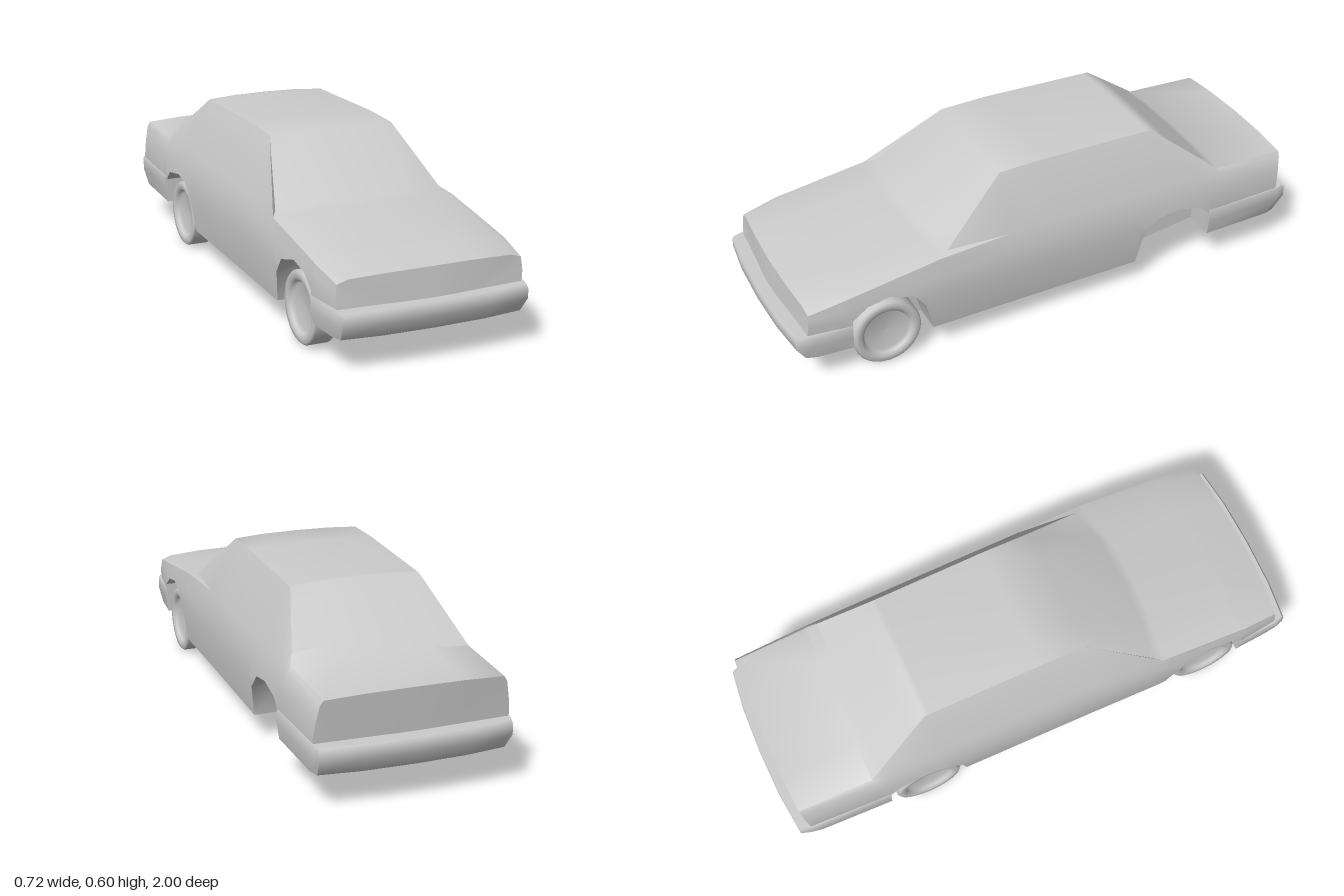
import * as THREE from 'three';
import { toCreasedNormals } from 'three/addons/utils/BufferGeometryUtils.js';

// Piecewise linear lookup in rows [key, v1, v2, ...] sorted by ascending key
function sample(rows, k, col = 1) {
  if (k <= rows[0][0]) return rows[0][col];
  for (let i = 1; i < rows.length; i++) {
    const a = rows[i - 1], b = rows[i];
    if (k <= b[0]) return a[col] + (b[col] - a[col]) * (k - a[0]) / (b[0] - a[0]);
  }
  return rows[rows.length - 1][col];
}

// Closed skin through equal-length rings, capped at both ends
function loft(rings, crease) {
  const pos = [];
  const tri = (a, b, c) => {
    const t = new THREE.Triangle(new THREE.Vector3(...a), new THREE.Vector3(...b), new THREE.Vector3(...c));
    if (t.getArea() > 1e-8) pos.push(...a, ...b, ...c);
  };
  const n = rings[0].length, last = rings[rings.length - 1];
  for (let i = 0; i < rings.length - 1; i++) {
    for (let j = 0; j < n; j++) {
      const k = (j + 1) % n, A = rings[i], B = rings[i + 1];
      tri(A[j], B[j], A[k]);
      tri(A[k], B[j], B[k]);
    }
  }
  for (let j = 1; j < n - 1; j++) {
    tri(rings[0][0], rings[0][j], rings[0][j + 1]);
    tri(last[0], last[j + 1], last[j]);
  }
  const g = new THREE.BufferGeometry();
  g.setAttribute('position', new THREE.Float32BufferAttribute(pos, 3));
  return toCreasedNormals(g, crease);
}

// Body stations: z, shoulder y, upper edge x, upper edge y, centre y, half width, bow, end slant
const KEYS = [
  [-0.96, 0.365, 0.305, 0.383, 0.392, 0.335, -0.01, 0.1],
  [-0.675, 0.375, 0.31, 0.39, 0.405, 0.346, 0, 0],
  [-0.43, 0.385, 0.232, 0.58, 0.59, 0.349, 0, 0],
  [0, 0.39, 0.235, 0.587, 0.597, 0.353, 0, 0],
  [0.185, 0.388, 0.235, 0.582, 0.588, 0.355, 0.02, 0],
  [0.45, 0.375, 0.315, 0.385, 0.4, 0.36, 0.04, 0],
  [0.8, 0.322, 0.31, 0.335, 0.345, 0.35, 0.02, 0],
  [0.945, 0.295, 0.29, 0.308, 0.316, 0.333, 0.02, 0.1],
];
// Height of the floor, and of the open wheel arches along the side
const FLOOR = [[-0.96, 0.15], [-0.632, 0.14], [-0.33, 0.095], [0.485, 0.095], [0.782, 0.14], [0.945, 0.14]];
const ARCHES = [
  [-0.631, 0.14], [-0.63, 0.225], [-0.59, 0.265], [-0.49, 0.282], [-0.41, 0.27], [-0.35, 0.21], [-0.33, 0.095],
  [0.485, 0.095], [0.515, 0.21], [0.555, 0.265], [0.645, 0.29], [0.725, 0.275], [0.78, 0.235], [0.781, 0.14],
];
// Body half width by height, for a full width of 0.36
const BULGE = [[0.095, 0.34], [0.2, 0.355], [0.25, 0.36], [0.31, 0.352], [0.39, 0.335]];

function bodyRing(z) {
  const [shoulder, edgeX, edgeY, top, wide, bow, slant] = [1, 2, 3, 4, 5, 6, 7].map(c => sample(KEYS, z, c));
  const floor = sample(FLOOR, z);
  const inArch = (z >= -0.63 && z <= -0.33) || (z >= 0.485 && z <= 0.78);
  const sill = inArch ? Math.max(floor, sample(ARCHES, z)) : floor;
  const side = y => sample(BULGE, y) * wide / 0.36;
  const low = Math.max(0.25, sill + 0.003);
  const mid = Math.max((0.25 + shoulder) / 2, low + 0.003);
  const half = [
    [0, floor], [0.235, floor], [0.235, sill], [side(sill), sill], [side(low), low], [side(mid), mid],
    [side(shoulder), shoulder], [edgeX, edgeY], [edgeX * 0.55, edgeY + (top - edgeY) * 0.8], [0, top],
  ];
  const bend = ([x, y], upper) =>
    [x, y, z + (top - y) * slant - (upper || slant ? bow * (x / 0.33) ** 2 : 0)];
  const right = half.map((p, i) => bend(p, i > 6));
  const left = right.slice(1, -1).reverse().map(([x, y, zz]) => [-x, y, zz]);
  return [...right, ...left];
}

// Wraparound bumper; levels run downward as [y, end z, corner half width]
function bumperRings(dir, inner, levels) {
  return levels.map(([y, z, w]) => {
    const front = [[-w, z - 0.06], [-w + 0.012, z - 0.022], [-0.18, z - 0.005], [0, z],
      [0.18, z - 0.005], [w - 0.012, z - 0.022], [w, z - 0.06]];
    const ring = [[w + 0.009, inner], [-w - 0.009, inner], ...front].map(([x, zz]) => [x, y, zz * dir]);
    return dir > 0 ? ring : ring.reverse();
  });
}

export function createModel() {
  const car = new THREE.Group();
  car.name = 'sedan';
  const paint = new THREE.MeshStandardMaterial({ color: 0xcccccc });
  paint.name = 'plain grey';
  const add = (name, geometry) => {
    const mesh = new THREE.Mesh(geometry, paint);
    mesh.name = name;
    car.add(mesh);
    return mesh;
  };

  // Body shell with cabin and wheel wells
  const stations = [...new Set([...KEYS, ...ARCHES].map(r => r[0]))].sort((a, b) => b - a);
  add('body', loft(stations.map(bodyRing), 0.75));

  // Bumpers
  add('frontBumper', loft(bumperRings(1, 0.782, [
    [0.215, 0.993, 0.338], [0.205, 1, 0.341], [0.17, 1, 0.341], [0.118, 0.967, 0.333]]), 0.75));
  add('rearBumper', loft(bumperRings(-1, 0.632, [
    [0.237, 0.993, 0.338], [0.227, 1, 0.341], [0.19, 1, 0.341], [0.132, 0.962, 0.333]]), 0.75));

  // Wheels: square tread, rounded sidewall, dished centre; the rear left well is empty
  const profile = [[0, -0.042], [0.115, -0.042], [0.125, -0.036], [0.125, 0.034], [0.118, 0.042],
    [0.1, 0.042], [0.088, 0.034], [0.08, 0.02], [0, 0.016]].map(p => new THREE.Vector2(...p));
  const wheelShape = new THREE.LatheGeometry(profile, 28);
  for (const [name, side, z] of [['frontLeftWheel', 1, 0.65], ['frontRightWheel', -1, 0.65], ['rearRightWheel', -1, -0.48]]) {
    const wheel = add(name, wheelShape);
    wheel.rotation.z = -side * Math.PI / 2;
    wheel.position.set(side * 0.291, 0.125, z);
  }
  return car;
}
